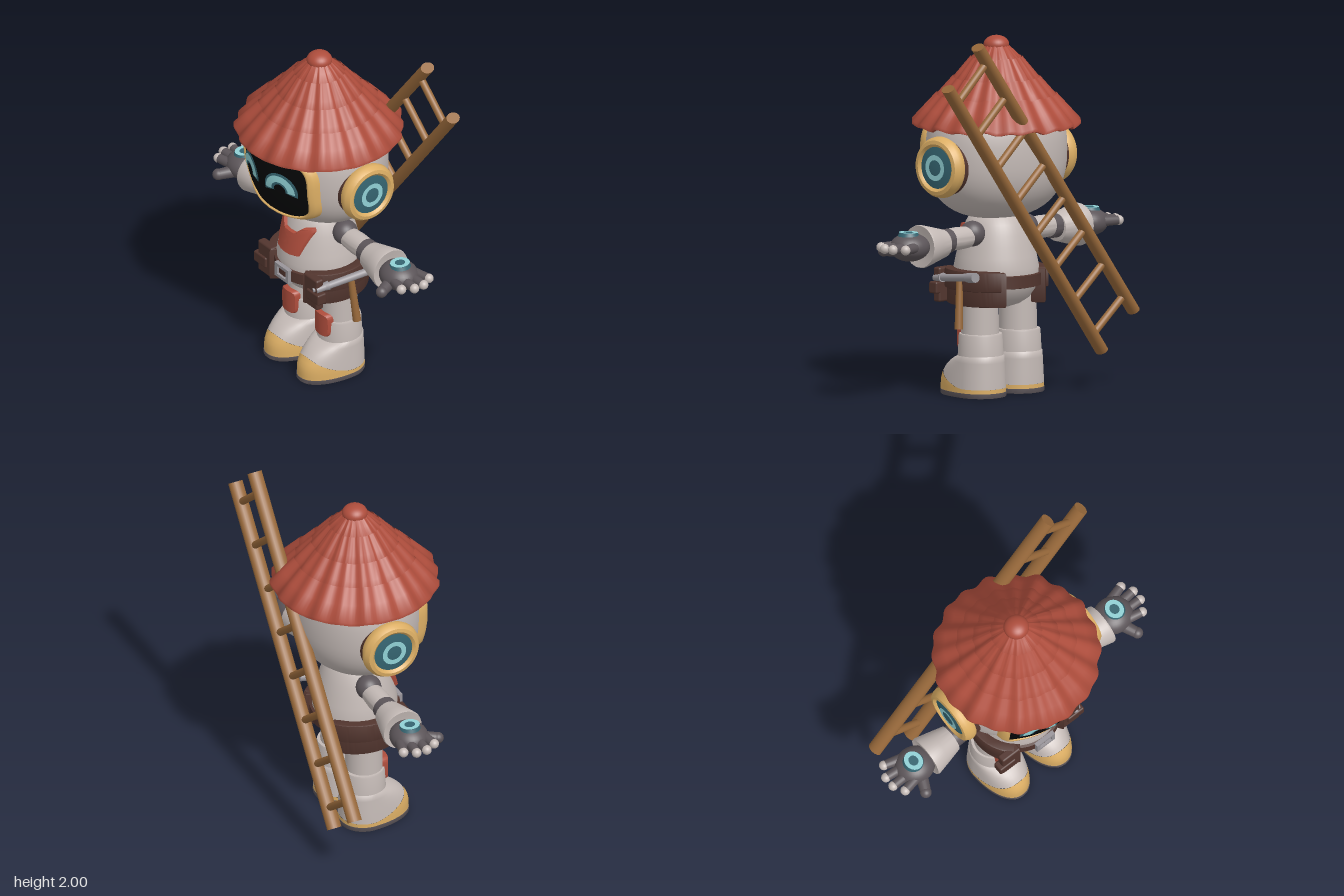
import * as THREE from 'three';
import { toCreasedNormals } from 'three/addons/utils/BufferGeometryUtils.js';
import { RoundedBoxGeometry } from 'three/addons/geometries/RoundedBoxGeometry.js';

const V = (x, y, z) => new THREE.Vector3(x, y, z);
const paint = (name, color) => { const m = new THREE.MeshStandardMaterial({ color }); m.name = name; return m; };

export function createModel() {
  const model = new THREE.Group();
  model.name = 'robotRoofer';
  const shell = paint('light shell', 0xc3b9b5), dark = paint('dark rubber', 0x5c5559);
  const red = paint('roof red', 0xae4d3c), yellow = paint('warm yellow', 0xdcae64);
  const wood = paint('wood', 0x97683a), leather = paint('leather', 0x52352e);
  const black = paint('visor black', 0x050607), cyan = paint('cyan glow', 0x90d0d4);
  const teal = paint('deep teal', 0x356470), metal = paint('metal', 0x99959a);
  red.side = THREE.DoubleSide;

  const add = (name, geo, mat, x = 0, y = 0, z = 0) => {
    const m = new THREE.Mesh(geo, mat);
    m.name = name;
    m.position.set(x, y, z);
    model.add(m);
    return m;
  };
  const lathe = (pts, seg = 48, crease = 0.7) => toCreasedNormals(
    new THREE.LatheGeometry(pts.map(([r, y]) => new THREE.Vector2(r, y)), seg), crease);
  // lathe lying along x, pointing away from the body on side s
  const sideLathe = (name, pts, mat, s, y, z) => {
    const m = add(name, lathe(pts), mat, 0, y, z);
    m.rotation.z = -s * Math.PI / 2;
    return m;
  };
  const rod = (name, a, b, r1, r2, mat) => {
    const d = b.clone().sub(a);
    const m = add(name, new THREE.CylinderGeometry(r2, r1, d.length(), 20), mat);
    m.position.copy(a).add(b).multiplyScalar(0.5);
    m.quaternion.setFromUnitVectors(V(0, 1, 0), d.normalize());
    return m;
  };
  // surface from point loops, each loop closed unless open is set
  const loft = (rings, open = false) => {
    const n = rings[0].length, idx = [];
    for (let i = 0; i < rings.length - 1; i++)
      for (let j = 0; j < (open ? n - 1 : n); j++) {
        const k = (j + 1) % n, a = i * n + j, b = i * n + k;
        idx.push(a, b, b + n, a, b + n, a + n);
      }
    const g = new THREE.BufferGeometry().setFromPoints(rings.flat());
    g.setIndex(idx);
    g.computeVertexNormals();
    return g;
  };
  const loop = (n, f) => Array.from({ length: n }, (_, i) => f(i / n * Math.PI * 2));
  const spow = (v, p) => Math.sign(v) * Math.abs(v) ** p;
  const oval = (w, h, p, n = 64) => loop(n, a => [w * spow(Math.cos(a), p), h * spow(Math.sin(a), p)]);
  // plate hugging a surface z = f(x, y); rings are [scale, lift]
  const plate = (outline, cx, cy, f, rings) => loft(rings.map(([s, lift]) =>
    outline.map(([x, y]) => V(cx + x * s, cy + y * s, f(cx + x * s, cy + y * s) + lift))));
  const raised = t => [[1.04, -0.03], [1.03, t * 0.5], [0.97, t], [0.75, t], [0.5, t], [0.25, t], [0, t]];

  // head: rounded egg
  const headPts = [];
  for (let i = 0; i <= 28; i++) {
    const a = -Math.PI / 2 + i / 28 * Math.PI;
    headPts.push([0.42 * Math.max(0, Math.cos(a)) ** 0.8, 1.33 + 0.365 * spow(Math.sin(a), 0.8)]);
  }
  add('head', lathe(headPts, 64, 1.2), shell).scale.z = 0.83;

  // visor, its frame and the smiling eyes
  const faceZ = (x, y) => 0.393 - 1.3 * x * x - 1.1 * (y - 1.33) ** 2;
  const visor = oval(0.28, 0.19, 0.55, 96);
  add('visor', plate(visor, 0, 1.285, faceZ, [1, 0.8, 0.6, 0.4, 0.2, 0].map(s => [s, 0])), black);
  add('visorFrame', plate(visor, 0, 1.285, faceZ,
    [[1.09, -0.12], [1.12, -0.03], [1.1, 0], [1.05, 0.014], [1.01, 0.01], [0.98, -0.01]]), yellow);
  const eyeArc = (cx, r0, r1, a0, lift) => loft([r1, (r0 + r1) / 2, r0].map(r =>
    Array.from({ length: 25 }, (_, i) => {
      const a = a0 + i / 24 * (Math.PI - 2 * a0);
      const x = cx + r * Math.cos(a), y = 1.28 + r * Math.sin(a);
      return V(x, y, faceZ(x, y) + lift);
    })), true);

  // straw-like tiled hat: overlapping fluted tiers
  const fluted = (r, y) => loop(160, a => {
    const w = Math.cos(a * 20) * 0.6 + Math.cos(a * 11 + 1) * 0.4;
    const q = r * (1 + 0.028 * w);
    return V(q * Math.sin(a), y + 0.012 * w * r / 0.46, q * Math.cos(a));
  });
  [[0.03, 1.945, 0.165, 1.81], [0.14, 1.845, 0.265, 1.69], [0.235, 1.735, 0.36, 1.59], [0.325, 1.64, 0.455, 1.495]]
    .forEach(([r0, y0, r1, y1], i) => add('hatTier' + (i + 1), toCreasedNormals(loft([
      fluted(r0 * 0.95, y0 - 0.04), fluted(r1 - 0.015, y1 - 0.022), fluted(r1, y1 - 0.018),
      fluted(r1, y1), fluted((r0 + r1) / 2, (y0 + y1) / 2), fluted(r0, y0)]), 0.9), red));
  add('hatKnob', new THREE.SphereGeometry(0.07, 32, 20), red, 0, 1.912, 0).scale.y = 0.72;

  // torso with chest plate
  add('torso', lathe([[0, 0.47], [0.07, 0.477], [0.13, 0.497], [0.18, 0.53], [0.215, 0.58], [0.233, 0.64], [0.232, 0.7],
    [0.22, 0.76], [0.205, 0.82], [0.19, 0.88], [0.168, 0.94], [0.14, 0.99], [0, 1.02]], 48, 1.2), shell);
  const chestZ = (x, y) => Math.sqrt(Math.max(0.001, (0.216 - 0.24 * (y - 0.78)) ** 2 - x * x));
  const chest = [[0.085, -0.08], [0.105, -0.01], [0.128, 0.065], [0.12, 0.085], [0.08, 0.08], [0.05, 0.042],
    [0, 0.042], [-0.05, 0.042], [-0.08, 0.08], [-0.12, 0.085], [-0.128, 0.065], [-0.105, -0.01],
    [-0.085, -0.08], [-0.04, -0.085], [0, -0.085], [0.04, -0.085]];
  add('chestPlate', toCreasedNormals(plate(chest, 0, 0.845, chestZ, raised(0.018)), 0.6), red);

  // belt and buckle
  add('belt', lathe([[0.225, 0.595], [0.247, 0.6], [0.247, 0.665], [0.225, 0.67]]), leather);
  const frame = new THREE.Shape([[-0.062, -0.042], [0.062, -0.042], [0.062, 0.042], [-0.062, 0.042]].map(p => new THREE.Vector2(...p)));
  frame.holes.push(new THREE.Path([[-0.04, -0.024], [-0.04, 0.024], [0.04, 0.024], [0.04, -0.024]].map(p => new THREE.Vector2(...p))));
  add('buckle', new THREE.ExtrudeGeometry(frame, { depth: 0.025, bevelEnabled: false }), metal, 0, 0.632, 0.235);

  // curved hip pouch wall centred on side s
  const hipWall = (name, s, r0, r1, half, y0, y1) => {
    const mid = s > 0 ? 0 : Math.PI, sh = new THREE.Shape();
    sh.absarc(0, 0, r1, mid - half, mid + half, false);
    sh.absarc(0, 0, r0, mid + half, mid - half, true);
    const g = new THREE.ExtrudeGeometry(sh, { depth: y1 - y0 - 0.02, bevelThickness: 0.01, bevelSize: 0.008, bevelSegments: 2, curveSegments: 24 });
    add(name, toCreasedNormals(g, 0.6), leather, 0, y0 + 0.01, 0).rotation.x = -Math.PI / 2;
  };

  // boot surface: point at angle a and height y
  const boot = (a, y, k = 1) => {
    const u = Math.min(0.98, Math.max(0, (y - 0.06) / 0.18)), c = Math.cos(a);
    return V(k * (0.138 - 0.012 * u) * spow(Math.sin(a), 0.9), y,
      -0.02 + k * c * (c > 0 ? 0.26 * Math.sqrt(1 - u * u) : 0.14 - 0.006 * u));
  };
  const capTop = a => 0.048 + 0.1 * Math.max(0, Math.cos(a)) ** 1.5;
  const steps = [0, 0.2, 0.4, 0.6, 0.8, 1];

  for (const s of [1, -1]) {
    const side = s > 0 ? 'left' : 'right';
    // eyes
    add(side + 'EyeHalo', eyeArc(s * 0.132, 0.035, 0.103, -0.25, 0.004), teal);
    add(side + 'Eye', eyeArc(s * 0.132, 0.05, 0.089, -0.1, 0.007), cyan);
    // ears
    sideLathe(side + 'EarBase', [[0.1, 0.32], [0.155, 0.34], [0.158, 0.41], [0.1, 0.42]], leather, s, 1.28, 0);
    sideLathe(side + 'EarRing', [[0.13, 0.395], [0.158, 0.402], [0.168, 0.425], [0.165, 0.45], [0.15, 0.473],
      [0.13, 0.477], [0.115, 0.465], [0.11, 0.44]], yellow, s, 1.28, 0);
    sideLathe(side + 'EarDisc', [[0.117, 0.44], [0.117, 0.463], [0.06, 0.472], [0, 0.474]], teal, s, 1.28, 0);
    add(side + 'EarLight', new THREE.RingGeometry(0.043, 0.071, 40), cyan, s * 0.477, 1.28, 0).rotation.y = s * Math.PI / 2;

    // arm
    add(side + 'Shoulder', new THREE.SphereGeometry(0.07, 28, 20), dark, s * 0.205, 0.895, -0.02);
    sideLathe(side + 'UpperArm', [[0.04, 0.24], [0.058, 0.245], [0.063, 0.32], [0.06, 0.4], [0.04, 0.402]], shell, s, 0.88, -0.02);
    sideLathe(side + 'Elbow', [[0.05, 0.38], [0.066, 0.39], [0.066, 0.46], [0.05, 0.47]], dark, s, 0.875, -0.02);
    sideLathe(side + 'Cuff', [[0.05, 0.435], [0.077, 0.44], [0.1, 0.53], [0.118, 0.605], [0.115, 0.617], [0.085, 0.612], [0, 0.6]],
      shell, s, 0.865, -0.02);
    // hand
    add(side + 'Palm', new THREE.SphereGeometry(1, 32, 24), dark, s * 0.69, 0.87, -0.02).scale.set(0.115, 0.078, 0.105);
    for (let i = 0; i < 4; i++) {
      const z0 = 0.045 - i * 0.046, z1 = 0.065 - i * 0.062, reach = i === 0 || i === 3 ? 0.825 : 0.86;
      const a = V(s * 0.73, 0.875, z0), b = V(s * reach, 0.875, z1);
      rod(side + 'Finger' + (i + 1), a, b, 0.029, 0.025, dark);
      add(side + 'FingerTip' + (i + 1), new THREE.SphereGeometry(0.027, 18, 14), shell, b.x, b.y, b.z);
    }
    rod(side + 'Thumb', V(s * 0.69, 0.85, 0.03), V(s * 0.735, 0.84, 0.13), 0.036, 0.03, dark);
    add(side + 'ThumbTip', new THREE.SphereGeometry(0.032, 18, 14), dark, s * 0.737, 0.84, 0.133);
    add(side + 'HandDisc', new THREE.CylinderGeometry(0.05, 0.06, 0.02, 32), teal, s * 0.7, 0.941, -0.02);
    const glow = add(side + 'HandLight', new THREE.RingGeometry(0.026, 0.049, 32), cyan, s * 0.7, 0.953, -0.02);
    glow.rotation.x = -Math.PI / 2;
    glow.scale.y = 1.15;

    // leg with knee pad
    const x = s * 0.147;
    add(side + 'Thigh', new THREE.CylinderGeometry(0.1, 0.104, 0.27, 36), shell, x, 0.46, -0.02);
    add(side + 'Shin', lathe([[0.128, 0.1], [0.126, 0.2], [0.119, 0.335], [0.116, 0.345], [0.098, 0.346]]), shell, x, 0, -0.025);
    const kneeZ = px => -0.025 + Math.sqrt(0.12 ** 2 - (px - x) ** 2);
    add(side + 'KneePad', toCreasedNormals(plate(oval(0.06, 0.068, 0.4, 40), x, 0.322, kneeZ, raised(0.018)), 0.7), red);
    // boot: sole, toe cap band and upper
    add(side + 'Sole', toCreasedNormals(loft([[0, 0], [1, 0], [1.015, 0.005], [1.015, 0.026], [0.97, 0.026]].map(([k, y]) =>
      loop(56, a => boot(a, y, k)))), 0.6), dark, x);
    add(side + 'ToeCap', loft(steps.map(t => loop(56, a => boot(a, 0.022 + t * (capTop(a) - 0.022), 1.004)))), yellow, x);
    add(side + 'Boot', loft([...steps.map(t => loop(56, a => boot(a, capTop(a) + t * (0.225 - capTop(a))))),
      loop(56, a => boot(a, 0.238, 0.8))]), shell, x);

    // hip pouch
    hipWall(side + 'Pouch', s, 0.2, 0.262, 0.95, 0.5, 0.69);
    hipWall(side + 'PouchFlap', s, 0.22, 0.276, 0.85, 0.585, 0.695);
    add(side + 'PouchFront', new RoundedBoxGeometry(0.125, 0.19, 0.05, 2, 0.012), leather, s * 0.205, 0.6, 0.195);
    add(side + 'PouchClasp', new RoundedBoxGeometry(0.11, 0.065, 0.06, 2, 0.01), leather, s * 0.237, 0.585, 0.2);
  }

  // hammer hung on the left hip
  rod('hammerHead', V(0.255, 0.635, 0.215), V(0.325, 0.675, -0.12), 0.019, 0.022, metal);
  rod('hammerFace', V(0.32, 0.672, -0.1), V(0.334, 0.68, -0.17), 0.027, 0.027, metal);
  rod('hammerClaw', V(0.24, 0.63, 0.225), V(0.27, 0.645, 0.14), 0.012, 0.026, metal);
  rod('hammerHandle', V(0.285, 0.64, 0.0), V(0.312, 0.38, -0.02), 0.018, 0.023, wood);

  // ladder on the back
  const railA = [V(-0.7, 0.415, -0.355), V(0.505, 1.98, -0.355)];
  const railB = [V(-0.455, 0.22, -0.355), V(0.735, 1.775, -0.355)];
  for (const [a, b] of [railA, railB]) rod('ladderRail', a, b, 0.032, 0.032, wood).scale.z = 1.3;
  for (let i = 0; i < 8; i++) {
    const t = 0.06 + i * 0.126;
    rod('ladderRung', railA[0].clone().lerp(railA[1], t), railB[0].clone().lerp(railB[1], t), 0.021, 0.021, wood);
  }
  return model;
}
